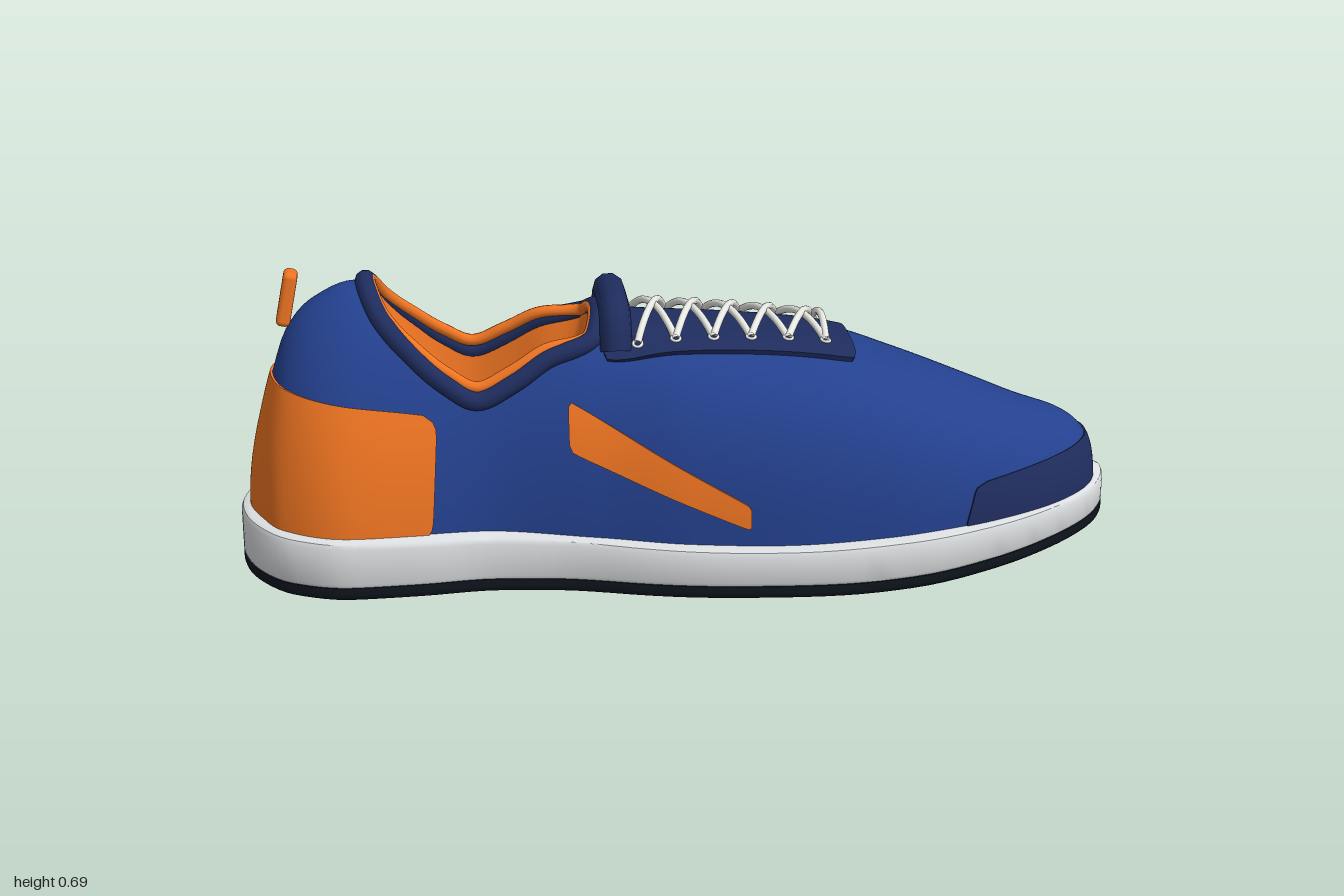
import * as THREE from 'three';
import { mergeVertices, toCreasedNormals } from 'three/addons/utils/BufferGeometryUtils.js';
import { RoundedBoxGeometry } from 'three/addons/geometries/RoundedBoxGeometry.js';

const V = (x, y, z) => new THREE.Vector3(x, y, z);
const { clamp, lerp: mix } = THREE.MathUtils;
const mat = (color) => new THREE.MeshStandardMaterial({ color, side: THREE.DoubleSide });
const blue = mat(0x24418f), navy = mat(0x1f2d5e), orange = mat(0xf07522);
const white = mat(0xe8e8e4), foam = mat(0xdcdfe1), rubber = mat(0x10161f);

// Smooth monotone curve through [x, value] pairs, eased so that both ends can round off
function profile(L, pts) {
  const phi = (x) => Math.acos(clamp(-x / L, -1, 1));
  const p = pts.map(([x, v]) => [phi(x), v]), last = p.length - 1;
  const d = p.slice(1).map((q, i) => (q[1] - p[i][1]) / (q[0] - p[i][0]));
  const m = p.map((_, i) => i === 0 ? d[0] : i === last ? d[last - 1]
    : d[i - 1] * d[i] > 0 ? 2 * d[i - 1] * d[i] / (d[i - 1] + d[i]) : 0);
  return (x) => {
    const f = clamp(phi(x), p[0][0], p[last][0]);
    let i = 0;
    while (i < last - 1 && f > p[i + 1][0]) i++;
    const h = p[i + 1][0] - p[i][0], t = (f - p[i][0]) / h, s = 1 - t;
    return p[i][1] * (1 + 2 * t) * s * s + m[i] * h * t * s * s
      + p[i + 1][1] * t * t * (3 - 2 * t) - m[i + 1] * h * t * t * s;
  };
}

// Shape of the shoe along its length
const XE = 0.974, BASE = 0.1;
const centre = profile(1, [[-1, -.03], [-.75, -.028], [-.45, -.033], [-.2, -.028], [0, -.013], [.3, -.004], [.6, 0], [1, 0]]);
const halfSole = profile(1, [[-1, 0], [-.97, .126], [-.88, .23], [-.75, .27], [-.6, .267], [-.45, .255], [-.3, .266],
  [-.1, .308], [.1, .332], [.28, .339], [.5, .322], [.7, .266], [.85, .193], [.95, .115], [1, 0]]);
const soleTop = profile(1, [[-1, .145], [-.5, .13], [.2, .113], [.6, .126], [1, .168]]);
const halfUpper = profile(XE, [[-XE, 0], [-.945, .1], [-.9, .175], [-.75, .236], [-.6, .226], [-.45, .213], [-.2, .253],
  [0, .285], [.25, .302], [.45, .291], [.6, .265], [.8, .2], [.9, .142], [.95, .09], [XE, 0]]);
const topLine = profile(XE, [[-XE, .13], [-.945, .34], [-.915, .45], [-.88, .55], [-.82, .62], [-.72, .66], [-.5, .62],
  [-.3, .59], [-.18, .572], [-.1, .553], [.1, .535], [.3, .512], [.39, .494], [.5, .455], [.7, .376], [.8, .335],
  [.9, .3], [.955, .25], [XE, .14]]);
const collarLine = profile(XE, [[-.7, .66], [-.67, .6], [-.6, .52], [-.53, .458], [-.46, .42], [-.38, .455], [-.3, .505],
  [-.2, .54], [-.18, .572]]);
const power = profile(XE, [[-XE, 1.8], [-.6, 1.85], [-.45, 1.95], [-.2, 2.2], [0, 2.6], [.3, 2.7], [.7, 2.4], [XE, 2.2]]);
const sole = (x) => 0.06 * Math.pow(Math.max(0, (x - 0.35) / 0.65), 1.7); // toe spring

// Points on the arched upper, found from its height or from its depth
const rad = (x) => Math.max(halfUpper(x), 0.004);
const arc = (k, n) => Math.pow(1 - Math.pow(clamp(k, 0, 1), n), 1 / n);
const onSide = (x, y, side) => V(x, y, centre(x) + side * rad(x) * arc((y - BASE) / (topLine(x) - BASE), power(x)));
const onTop = (x, z) => V(x, BASE + (topLine(x) - BASE) * arc(Math.abs(z - centre(x)) / rad(x), power(x)), z);

// Moves a point of the upper outwards along the surface normal
function lift(p, d) {
  const F = (x, y, z) => Math.pow(Math.abs(z - centre(x)) / rad(x), power(x))
    + Math.pow(Math.max(0, y - BASE) / (topLine(x) - BASE), power(x));
  const e = 0.001, x = clamp(p.x, -XE + 0.003, XE - 0.003);
  const n = V(F(x + e, p.y, p.z) - F(x - e, p.y, p.z), F(x, p.y + e, p.z) - F(x, p.y - e, p.z),
    F(x, p.y, p.z + e) - F(x, p.y, p.z - e)).normalize();
  return p.clone().addScaledVector(n, d);
}

// Surface through rows of points
function skin(rows, crease = 0, skip = () => false) {
  const w = rows[0].length, idx = [], pts = rows.flat();
  const tri = (a, b, c) => {
    const area = pts[b].clone().sub(pts[a]).cross(pts[c].clone().sub(pts[a])).length();
    if (area > 1e-9) idx.push(a, b, c);
  };
  for (let i = 0; i < rows.length - 1; i++) for (let j = 0; j < w - 1; j++) {
    if (skip(i, j)) continue;
    const a = i * w + j;
    tri(a, a + 1, a + w);
    tri(a + 1, a + w + 1, a + w);
  }
  const g = mergeVertices(new THREE.BufferGeometry().setFromPoints(pts).setIndex(idx), 1e-5);
  g.computeVertexNormals();
  return crease ? toCreasedNormals(g, crease) : g;
}

// Raised panel lying on the upper; f maps u, v in -1..1 to a surface point
function panel(f, nu, nv, height) {
  const rows = [];
  for (let i = -1; i <= nu + 1; i++) {
    const row = [];
    for (let j = -1; j <= nv + 1; j++) {
      const rim = i < 0 || j < 0 || i > nu || j > nv;
      const u = clamp(i / nu, 0, 1) * 2 - 1, v = clamp(j / nv, 0, 1) * 2 - 1;
      row.push(lift(f(u * (1 - 0.035 * v ** 12), v * (1 - 0.035 * u ** 12)), rim ? -0.008 : height));
    }
    rows.push(row);
  }
  return skin(rows, 0.8);
}

export function createModel() {
  const group = new THREE.Group();
  const add = (name, geometry, material) => {
    const m = new THREE.Mesh(geometry, material);
    m.name = name;
    group.add(m);
    return m;
  };
  const tube = (pts, r, n, closed = false) =>
    new THREE.TubeGeometry(new THREE.CatmullRomCurve3(pts, closed), n, r, 10, closed);

  // Sole layers: outline rings given as [inset, height rule]
  const ring = ([inset, y]) => Array.from({ length: 145 }, (_, i) => {
    const a = (i % 144) / 144 * Math.PI * 2, x = -Math.cos(a), s = a < Math.PI ? 1 : -1;
    return V(x * (1 - inset), y(x), centre(x) + s * halfSole(x) * (1 - inset * 3));
  });
  const layer = (rings) => skin(rings.map(ring), 0.7);
  const seam = (x) => sole(x) + 0.03;
  add('outsole', layer([[1 / 3, sole], [.009, sole], [.003, (x) => sole(x) + .005], [0, (x) => sole(x) + .014],
    [0, seam], [1 / 3, seam]]), rubber);
  add('midsole', layer([[.004, seam], [0, (x) => seam(x) + .008], [0, (x) => soleTop(x) - .014],
    [.004, (x) => soleTop(x) - .004], [.012, soleTop], [1 / 3, soleTop]]), foam);

  // Upper: arches from heel to toe, left open between the collar stations
  const span = (a, b, n) => { // stations crowding towards the rounded ends
    const p = Math.acos(-a / XE), q = Math.acos(-b / XE);
    return Array.from({ length: n }, (_, i) => -XE * Math.cos(p + (q - p) * i / n));
  };
  const H0 = -0.7, H1 = -0.18, HN = 40;
  const hole = Array.from({ length: HN }, (_, i) => H0 + (H1 - H0) * (1 - Math.cos(Math.PI * i / HN)) / 2);
  const heel = span(-XE, H0, 26), xs = [...heel, ...hole, ...span(H1, XE, 64), XE];
  const hump = (x) => Math.sin(Math.PI * (x - H0) / (H1 - H0));
  const edgeAngle = (x, side) => {
    if (x <= H0 || x >= H1) return Math.PI / 2;
    const y = collarLine(x) + (side < 0 ? 0.015 * hump(x) : 0);
    return Math.asin(Math.pow(Math.min(1, (y - BASE) / (topLine(x) - BASE)), power(x) / 2));
  };
  const arch = (x, side, t) => {
    const a = t * edgeAngle(x, side), c = Math.max(0, Math.cos(a)), e = 2 / power(x);
    return V(x, BASE + (topLine(x) - BASE) * Math.pow(Math.sin(a), e),
      centre(x) + side * (c < 1e-6 ? 0 : halfUpper(x) * Math.pow(c, e)));
  };
  const M = 22, rows = xs.map((x) => {
    const half = (s) => Array.from({ length: M + 1 }, (_, j) => arch(x, s, j / M));
    return [...half(1), ...half(-1).reverse()];
  });
  add('upper', skin(rows, 0, (i, j) => j === M && i >= heel.length && i < heel.length + HN), blue);

  // Collar trim, with the lining rising just inside it and sinking to the insole
  const rim = [...hole.map((x) => arch(x, 1, 1)), arch(H1, 1, 1), ...hole.slice(1).reverse().map((x) => arch(x, -1, 1))];
  add('collarTrim', tube(rim, 0.022, 160, true), navy);
  const mid = V(-0.43, 0, -0.025);
  const inner = rim.map((p) => V(mix(p.x, mid.x, .04), p.y + .028 * hump(p.x), mix(p.z, mid.z, .09)));
  add('liningEdge', tube(inner, 0.014, 160, true), orange);
  const loop = [...inner, inner[0]];
  const sink = (t, y) => loop.map((p) => {
    const d = V(p.x - mid.x, 0, p.z - mid.z), c = d.clone().setLength(0.14);
    return V(mid.x, p.y + (y - p.y) * t, mid.z).add(d.lerp(c, t));
  });
  add('lining', skin([sink(0, 0), sink(.25, .2), sink(.5, .2), sink(.75, .2), sink(1, .2),
    loop.map(() => V(mid.x, .19, mid.z))], 0.6), orange);

  // Wrap-around panels at the heel and the toe
  const wrap = (end, inside, xe, yTop) => (u, v) => {
    const t = (v + 1) / 2, y = 0.11 + t * (yTop(u) - 0.11);
    let a = end, b = inside; // find where the centre line reaches this height
    for (let i = 0; i < 30; i++) topLine((a + b) / 2) < y ? a = (a + b) / 2 : b = (a + b) / 2;
    return onSide(b + (xe(t) - b) * Math.pow(Math.abs(u), 2.4), y, u < 0 ? -1 : 1);
  };
  add('heelCounter', panel(wrap(-XE, -.72, (t) => -.57 + .02 * t, (u) => .455 - .055 * u * u), 64, 20, 0.006), orange);
  add('toeCap', panel(wrap(XE, .85, (t) => .62 + .03 * t, (u) => .258 - .035 * u * u), 64, 12, 0.004), navy);

  // Slanted stripe on each side
  for (const side of [1, -1]) {
    add(side > 0 ? 'leftStripe' : 'rightStripe', panel((u, v) => {
      const s = (u + 1) / 2, t = (v + 1) / 2;
      return onSide(mix(-.26, .135, s), mix(mix(.315, .15, s), mix(.425, .205, s), t), side);
    }, 30, 8, 0.006), orange);
  }

  // Lace panel and padded tongue lip
  const LC = -0.03;
  add('lacePanel', panel((u, v) => onTop(.105 + .285 * u, LC + .16 * v), 30, 30, 0.012), navy);
  const lip = Array.from({ length: 17 }, (_, i) => {
    const w = i / 8 - 1;
    return V(-0.148, 0.602 - 0.085 * w ** 6, LC + 0.135 * w);
  });
  add('tongueLip', tube(lip, 0.036, 48), navy);

  // Crossed laces with an eyelet at each end
  const laces = new THREE.Group();
  laces.name = 'laces';
  group.add(laces);
  const rowX = (i) => -0.1 + 0.085 * i, rowZ = (i, s) => LC + s * (0.132 - 0.006 * i);
  const lace = (i, j, s) => {
    const pts = Array.from({ length: 13 }, (_, k) => {
      const t = k / 12, p = onTop(mix(rowX(i), rowX(j), t), mix(rowZ(i, s), rowZ(j, -s), t));
      return lift(p, 0.012 + 0.024 * Math.sin(Math.PI * t) + (s > 0 ? 0.004 : 0));
    });
    const m = new THREE.Mesh(tube(pts, 0.0085, 28), white);
    m.name = 'lace';
    laces.add(m);
  };
  for (let i = 0; i < 5; i++) for (const s of [1, -1]) lace(i, i + 1, s);
  lace(5, 5, 1);
  for (let i = 0; i < 6; i++) for (const s of [1, -1]) {
    const p = onTop(rowX(i), rowZ(i, s)), out = lift(p, 0.014);
    const m = new THREE.Mesh(new THREE.TorusGeometry(0.01, 0.0035, 8, 16), white);
    m.name = 'eyelet';
    m.position.copy(out);
    m.quaternion.setFromUnitVectors(V(0, 0, 1), out.clone().sub(p).normalize());
    laces.add(m);
  }

  // Pull tab at the back of the heel
  const tab = add('pullTab', new RoundedBoxGeometry(0.032, 0.125, 0.06, 3, 0.012), orange);
  tab.position.set(-0.873, 0.627, -0.024);
  tab.rotation.z = -0.2;
  return group;
}
